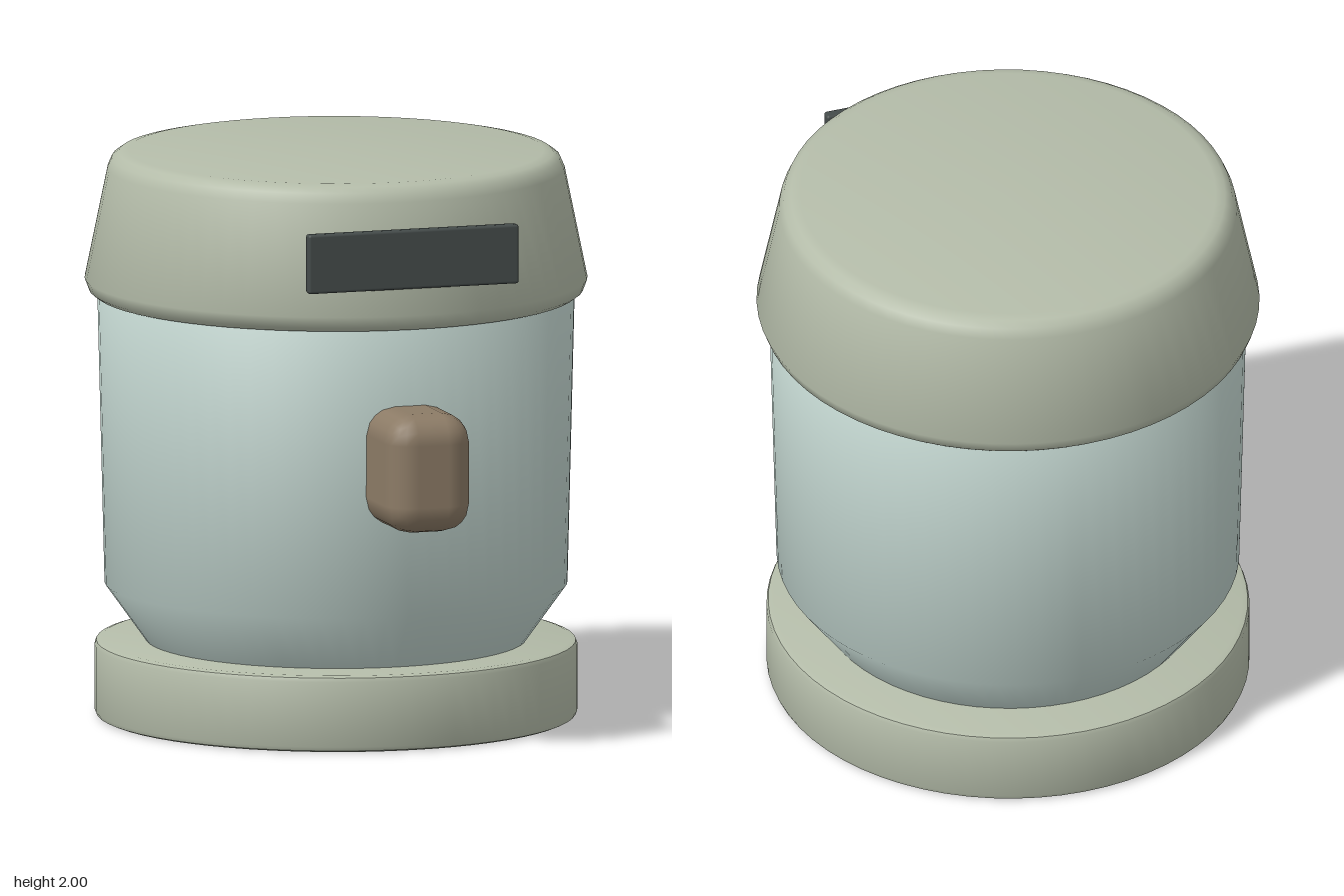
import * as THREE from 'three';
import { RoundedBoxGeometry } from 'three/addons/geometries/RoundedBoxGeometry.js';
import { toCreasedNormals } from 'three/addons/utils/BufferGeometryUtils.js';

const AXIS_Z = -0.11; // the round parts sit back to leave room for the knob
const mat = (color) => new THREE.MeshStandardMaterial({ color });

// Solid of revolution from [radius, height] pairs, listed bottom to top
function turned(name, profile, material, crease = 0.6) {
  const points = profile.map(([r, y]) => new THREE.Vector2(r, y));
  const geometry = toCreasedNormals(new THREE.LatheGeometry(points, 64), crease);
  const mesh = new THREE.Mesh(geometry, material);
  mesh.name = name;
  mesh.position.z = AXIS_Z;
  mesh.scale.z = 1.01;
  return mesh;
}

function roundedBox(name, size, segments, radius, position, material) {
  const mesh = new THREE.Mesh(new RoundedBoxGeometry(...size, segments, radius), material);
  mesh.name = name;
  mesh.position.set(...position);
  return mesh;
}

export function createModel() {
  const model = new THREE.Group();
  model.name = 'canister';
  const sage = mat(0xb4bca9);
  const glass = mat(0xc0d3cd);
  const brown = mat(0x8c7b66);
  const charcoal = mat(0x444b4a);

  // Base disc with softened rims
  model.add(turned('base', [
    [0, 0], [0.825, 0], [0.839, 0.006], [0.845, 0.02],
    [0.845, 0.25], [0.839, 0.264], [0.82, 0.27], [0, 0.27],
  ], sage));

  // Jar body, tapering in sharply at the foot
  model.add(turned('body', [
    [0, 0.26], [0.66, 0.26], [0.81, 0.47], [0.835, 1.49], [0.82, 1.51], [0, 1.51],
  ], glass, 0.75));

  // Flared lid with rounded top and lower rim
  model.add(turned('lid', [
    [0, 1.495], [0.845, 1.495], [0.865, 1.51], [0.88, 1.55],
    [0.8, 1.94], [0.785, 1.975], [0.76, 1.993], [0.727, 2], [0, 2],
  ], sage));

  // Front fittings
  model.add(roundedBox('knob', [0.31, 0.42, 0.4], 2, 0.1, [0, 1.012, 0.8], brown));
  model.add(roundedBox('plate', [0.775, 0.21, 0.04], 2, 0.01, [0, 1.748, 0.75], charcoal));

  return model;
}
